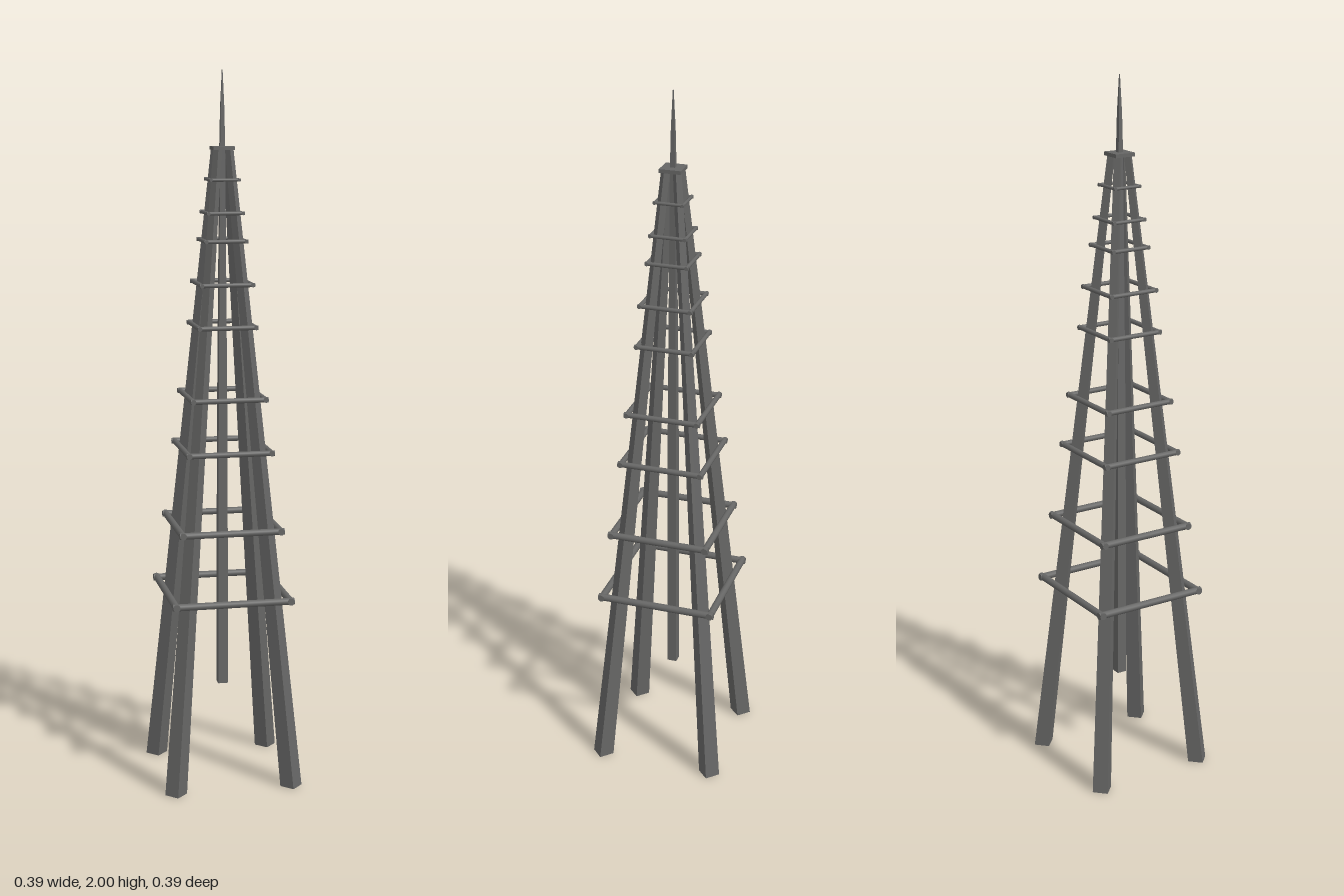
import * as THREE from 'three';

const steel = new THREE.MeshStandardMaterial({ color: 0x666665 });
steel.name = 'darkGreySteel';

// Sharp-edged copy of a geometry
function faceted(geometry) {
  const flat = geometry.toNonIndexed();
  flat.computeVertexNormals();
  return flat;
}

function add(parent, name, geometry) {
  const mesh = new THREE.Mesh(geometry, steel);
  mesh.name = name;
  parent.add(mesh);
  return mesh;
}

// Tapering square leg set diagonally, sheared so its ends stay level
function legGeometry(sx, sz) {
  const height = 1.79, foot = 0.166, head = 0.016;
  const g = new THREE.CylinderGeometry(0.012, 0.031, height, 4);
  g.translate(0, height / 2, 0);
  const p = g.attributes.position;
  for (let i = 0; i < p.count; i++) {
    const c = THREE.MathUtils.lerp(foot, head, p.getY(i) / height);
    p.setX(i, p.getX(i) + sx * c);
    p.setZ(i, p.getZ(i) + sz * c);
  }
  return faceted(g);
}

export function createModel() {
  const tower = new THREE.Group();
  tower.name = 'latticeTower';

  // Four corner legs
  for (const sx of [-1, 1]) for (const sz of [-1, 1]) {
    add(tower, (sz > 0 ? 'front' : 'back') + (sx > 0 ? 'Left' : 'Right') + 'Leg', legGeometry(sx, sz));
  }

  // Square rings of round bars: height, half width, bar thickness
  const rings = [
    [0.543, 0.172, 0.02], [0.739, 0.148, 0.019], [0.958, 0.124, 0.016],
    [1.106, 0.109, 0.015], [1.304, 0.085, 0.013], [1.421, 0.077, 0.012],
    [1.539, 0.061, 0.011], [1.615, 0.053, 0.01], [1.705, 0.043, 0.009],
  ];
  rings.forEach(([y, half, thick], i) => {
    const ring = new THREE.Group();
    ring.name = 'braceRing' + (i + 1);
    ring.position.y = y;
    const bar = new THREE.CylinderGeometry(thick / 2, thick / 2, half * 2, 12);
    bar.rotateZ(Math.PI / 2);
    bar.translate(0, 0, half - thick / 2);
    for (let k = 0; k < 4; k++) add(ring, 'braceBar', bar).rotation.y = k * Math.PI / 2;
    tower.add(ring);
  });

  // Small plate joining the leg heads
  add(tower, 'topPlate', new THREE.BoxGeometry(0.06, 0.01, 0.06)).position.y = 1.79;

  // Square central mast narrowing to a needle: [height, half width]
  const mast = [[0.265, 0.014], [0.7, 0.0135], [1.1, 0.012], [1.79, 0.007], [1.9, 0.005], [2, 0.001]];
  const outline = [[0.265, 0], ...mast, [2, 0]].map(([y, h]) => new THREE.Vector2(h * Math.SQRT2, y));
  add(tower, 'centralMast', faceted(new THREE.LatheGeometry(outline, 4, Math.PI / 4)));

  return tower;
}
